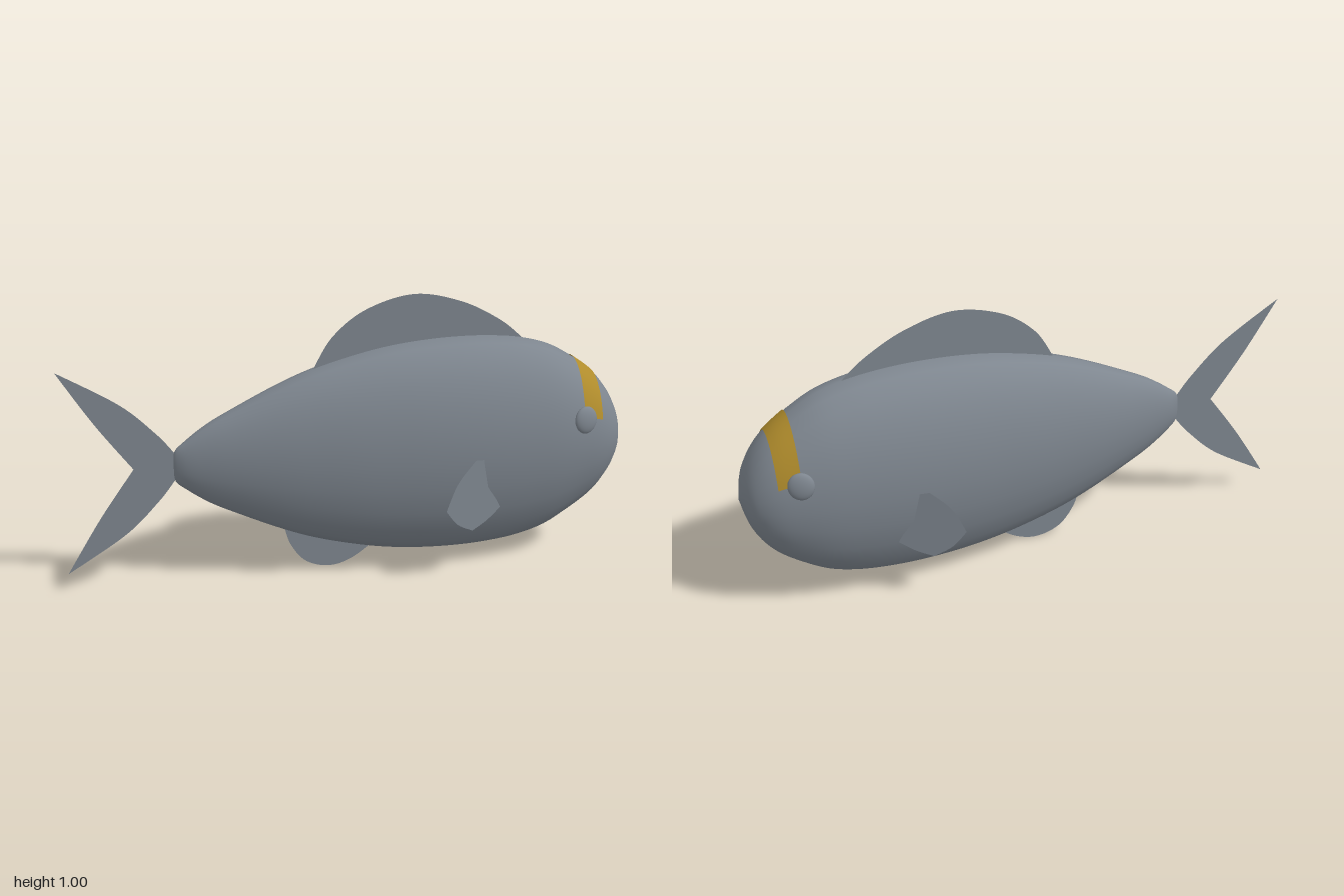
import * as THREE from 'three';

const MID_Y = 0.44;

// Body stations: x, half height, half width
const stations = [
  [-0.62, 0, 0], [-0.615, 0.055, 0.012], [-0.58, 0.088, 0.034], [-0.5, 0.145, 0.063],
  [-0.4, 0.197, 0.092], [-0.24, 0.272, 0.13], [-0.13, 0.314, 0.15], [0, 0.35, 0.17],
  [0.12, 0.375, 0.183], [0.25, 0.39, 0.194], [0.4, 0.395, 0.2], [0.52, 0.389, 0.199],
  [0.62, 0.375, 0.194], [0.72, 0.345, 0.185], [0.815, 0.289, 0.168], [0.89, 0.231, 0.147],
  [0.94, 0.17, 0.12], [0.975, 0.1, 0.083], [1, 0, 0],
];
const spine = new THREE.CatmullRomCurve3(stations.map((s) => new THREE.Vector3(...s)));
const stationT = (i) => i / (stations.length - 1);

// Loft of elliptical sections between two places on the spine and two angles
function loft(t0, t1, rings, a0, a1, sides, closed, lift = 0) {
  const pos = [], index = [];
  const cols = closed ? sides : sides + 1;
  for (let i = 0; i <= rings; i++) {
    const s = spine.getPoint(t0 + (t1 - t0) * i / rings);
    for (let j = 0; j < cols; j++) {
      const a = a0 + (a1 - a0) * j / sides;
      const h = Math.max(s.y, 0), w = Math.max(s.z, 0);
      pos.push(s.x, MID_Y + (h + lift) * Math.sin(a), (w + lift) * Math.cos(a));
    }
  }
  for (let i = 0; i < rings; i++) {
    for (let j = 0; j < sides; j++) {
      const k = (j + 1) % cols;
      const a = i * cols + j, b = a + cols, c = i * cols + k, d = c + cols;
      index.push(a, b, c, c, b, d);
    }
  }
  const g = new THREE.BufferGeometry();
  g.setAttribute('position', new THREE.Float32BufferAttribute(pos, 3));
  g.setIndex(index);
  g.computeVertexNormals();
  return g;
}

// Flat fin outline made of smooth runs joined at sharp corners
function finGeometry(runs) {
  const shape = new THREE.Shape();
  runs.forEach((run, i) => {
    if (i === 0) shape.moveTo(...run[0]);
    shape.splineThru(run.slice(1).map((p) => new THREE.Vector2(...p)));
  });
  return new THREE.ShapeGeometry(shape, 12);
}

export function createModel() {
  const group = new THREE.Group();
  const skin = new THREE.MeshStandardMaterial({ color: 0x7e868f });
  skin.name = 'grey skin';
  const fin = new THREE.MeshStandardMaterial({ color: 0x7e868f, side: THREE.DoubleSide });
  fin.name = 'grey fin';
  const gold = new THREE.MeshStandardMaterial({ color: 0xb08c2c, side: THREE.DoubleSide });
  gold.name = 'gold';

  const add = (name, geometry, material) => {
    const mesh = new THREE.Mesh(geometry, material);
    mesh.name = name;
    group.add(mesh);
    return mesh;
  };

  add('body', loft(0, 1, 72, 0, Math.PI * 2, 24, true), skin);

  // Gold band over the forehead, from eye to eye
  const start = THREE.MathUtils.degToRad(23);
  add('foreheadBand', loft(stationT(14), stationT(15), 4, start, Math.PI - start, 24, false, 0.003), gold);

  // Fins on the centre plane
  add('dorsalFin', finGeometry([
    [[-0.13, 0.75], [-0.06, 0.865], [0.06, 0.955], [0.23, 0.998], [0.4, 0.96], [0.54, 0.885], [0.625, 0.813]],
    [[0.625, 0.813], [0.25, 0.75], [-0.13, 0.75]],
  ]), fin);
  add('analFin', finGeometry([
    [[-0.24, 0.18], [-0.215, 0.1], [-0.16, 0.03], [-0.075, 0.003], [0.01, 0.025], [0.1, 0.088]],
    [[0.1, 0.088], [0, 0.16], [-0.24, 0.18]],
  ]), fin);
  add('tailFin', finGeometry([
    [[-0.6, 0.47], [-0.617, 0.492], [-0.677, 0.567], [-0.795, 0.68], [-1, 0.81]],
    [[-1, 0.81], [-0.88, 0.615], [-0.757, 0.442]],
    [[-0.757, 0.442], [-0.88, 0.267], [-1, 0.072]],
    [[-1, 0.072], [-0.795, 0.2], [-0.677, 0.313], [-0.617, 0.388], [-0.6, 0.41]],
    [[-0.6, 0.41], [-0.6, 0.47]],
  ]), fin);

  for (const side of [1, -1]) {
    const label = side > 0 ? 'left' : 'right';

    // Pectoral fin, slanting away from the body towards the tail
    const g = finGeometry([
      [[0.4, 0.45], [0.33, 0.378], [0.286, 0.285]],
      [[0.286, 0.285], [0.332, 0.225], [0.393, 0.187]],
      [[0.393, 0.187], [0.45, 0.212], [0.505, 0.25]],
      [[0.505, 0.25], [0.465, 0.34], [0.445, 0.443]],
      [[0.445, 0.443], [0.4, 0.45]],
    ]);
    const p = g.attributes.position;
    for (let i = 0; i < p.count; i++) p.setZ(i, side * (0.25 - 0.34 * (p.getX(i) - 0.286)));
    g.computeVertexNormals();
    add(label + 'PectoralFin', g, fin);

    // Flattened eye
    const eye = add(label + 'Eye', new THREE.SphereGeometry(1, 24, 16), skin);
    eye.scale.set(0.045, 0.049, 0.018);
    eye.rotation.set(-0.13 * side, 0.25 * side, 0);
    eye.position.set(0.818, 0.543, 0.155 * side);
  }
  return group;
}
